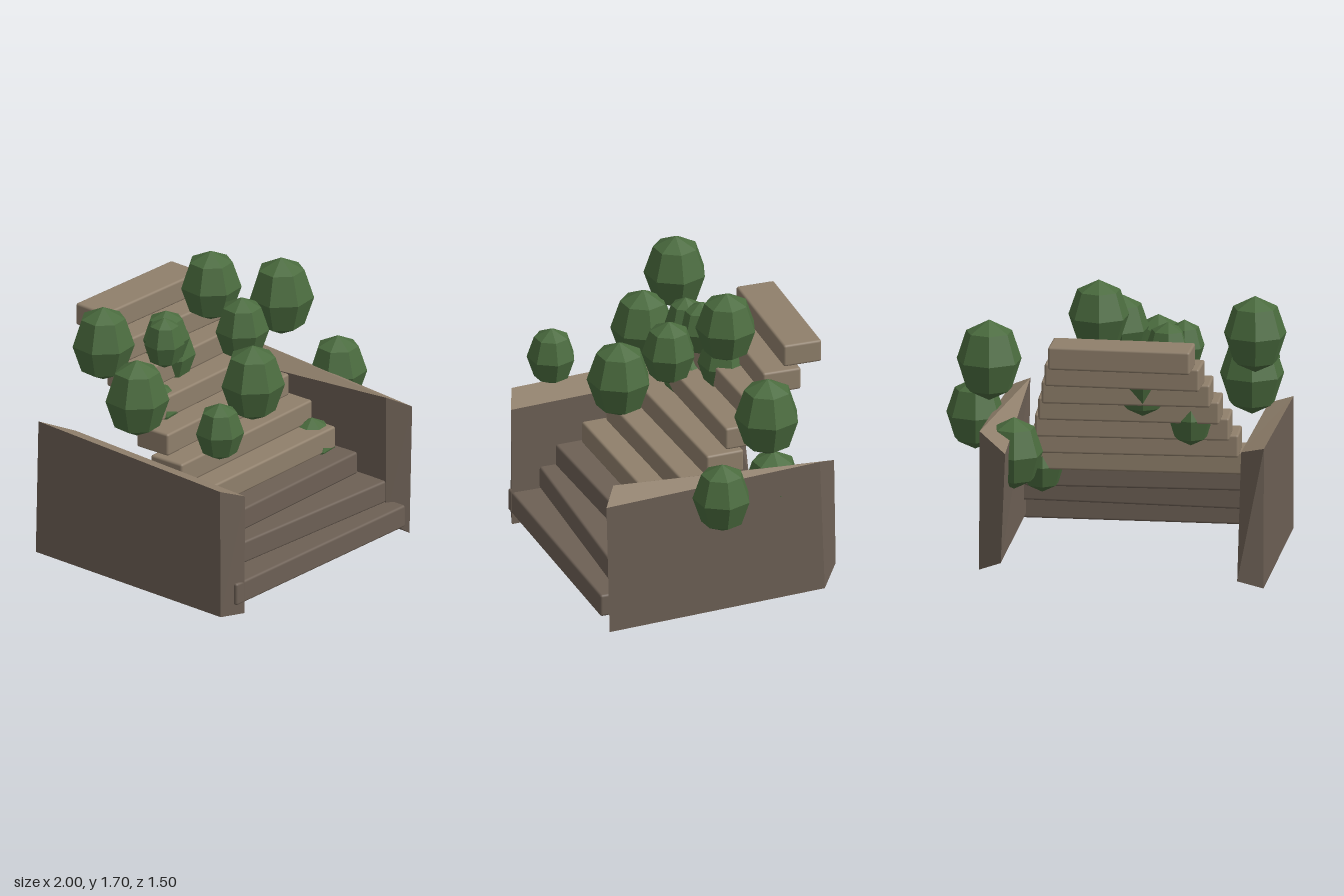
import * as THREE from 'three';
import { RoundedBoxGeometry } from 'three/addons/geometries/RoundedBoxGeometry.js';

function material(name, color) {
  const m = new THREE.MeshStandardMaterial({ color });
  m.name = name;
  return m;
}

// Faceted copy of a geometry
function faceted(geometry) {
  const g = geometry.toNonIndexed();
  g.computeVertexNormals();
  return g;
}

// Uneven slab; every corner is keyed by its side of the box: x, y, z
function slab(corners) {
  const box = new THREE.BoxGeometry(2, 2, 2);
  const p = box.attributes.position;
  for (let i = 0; i < p.count; i++) {
    const key = [p.getX(i), p.getY(i), p.getZ(i)].map((v) => (v > 0 ? '+' : '-')).join('');
    p.setXYZ(i, ...corners[key]);
  }
  const g = faceted(box);
  box.groups.forEach((s) => g.addGroup(s.start, s.count, s.materialIndex));
  return g;
}

export function createModel() {
  const model = new THREE.Group();
  const paleStone = material('pale stone', 0x8f7f6b);
  const darkStone = material('dark stone', 0x6d6055);
  const leaf = material('leaf green', 0x4a6b3e);

  const add = (parent, name, geometry, mat) => {
    const mesh = new THREE.Mesh(geometry, mat);
    mesh.name = name;
    parent.add(mesh);
    return mesh;
  };

  // Ten floating steps, narrowing upwards, each slightly askew
  const stairs = new THREE.Group();
  stairs.name = 'stairs';
  model.add(stairs);
  const turns = [0, -0.045, 0.03, 0.02, 0.03, 0.035, 0.02, 0.025, -0.024, -0.024];
  turns.forEach((turn, i) => {
    const geometry = new RoundedBoxGeometry(1.485 - 0.074 * i, 0.135, 0.23, 2, 0.014);
    const step = add(stairs, `step${i + 1}`, geometry, i < 3 ? darkStone : paleStone);
    step.position.set(-0.105, 0.143 + 0.135 * i, 0.625 - 0.14 * i);
    step.rotation.y = turn;
  });

  // Rough side walls with pale tops
  const wallMaterials = [darkStone, darkStone, paleStone, darkStone, darkStone, darkStone];
  add(model, 'leftWall', slab({
    '+++': [0.705, 0.8, 0.73], '+-+': [0.705, 0.005, 0.71],
    '++-': [0.72, 0.87, -0.57], '+--': [0.72, 0.06, -0.6],
    '-++': [0.58, 0.87, 0.64], '--+': [0.59, 0.1, 0.63],
    '-+-': [0.555, 0.78, -0.72], '---': [0.58, 0.135, -0.72],
  }), wallMaterials);
  add(model, 'rightWall', slab({
    '+++': [-0.78, 0.74, 0.745], '+-+': [-0.78, 0.01, 0.74],
    '++-': [-0.78, 0.785, -0.53], '+--': [-0.78, 0.07, -0.71],
    '-++': [-0.93, 0.8, 0.685], '--+': [-0.93, 0.02, 0.69],
    '-+-': [-0.93, 0.85, -0.68], '---': [-0.93, 0.03, -0.7],
  }), wallMaterials);

  // Leafy clumps: x, y, z, radius, half height
  const clumps = [
    [-0.83, 1.42, -0.28, 0.183, 0.225],
    [-0.785, 1.125, -0.065, 0.188, 0.235],
    [-0.735, 1.065, 0.515, 0.142, 0.175],
    [-0.2, 1.13, 0.305, 0.187, 0.232],
    [0.075, 1.49, -0.245, 0.178, 0.213],
    [-0.02, 1.34, 0.07, 0.158, 0.195],
    [-0.41, 1.31, -0.18, 0.118, 0.155],
    [-0.325, 1.3, -0.24, 0.137, 0.165],
    [-0.19, 1.13, -0.34, 0.16, 0.2],
    [0.55, 0.69, -0.35, 0.17, 0.212],
    [0.705, 1.21, -0.255, 0.19, 0.238],
    [0.825, 0.805, 0.068, 0.17, 0.21],
    [0.455, 0.49, 0.19, 0.135, 0.17],
    [-0.45, 0.9, -0.21, 0.135, 0.17],
  ];
  const foliage = new THREE.Group();
  foliage.name = 'foliage';
  model.add(foliage);
  clumps.forEach(([x, y, z, r, h], i) => {
    const geometry = new THREE.SphereGeometry(1, 7, 4);
    geometry.scale(r, h, r);
    geometry.rotateY(0.35);
    const clump = add(foliage, `leafClump${i + 1}`, faceted(geometry), leaf);
    clump.position.set(x, y, z);
  });

  return model;
}
